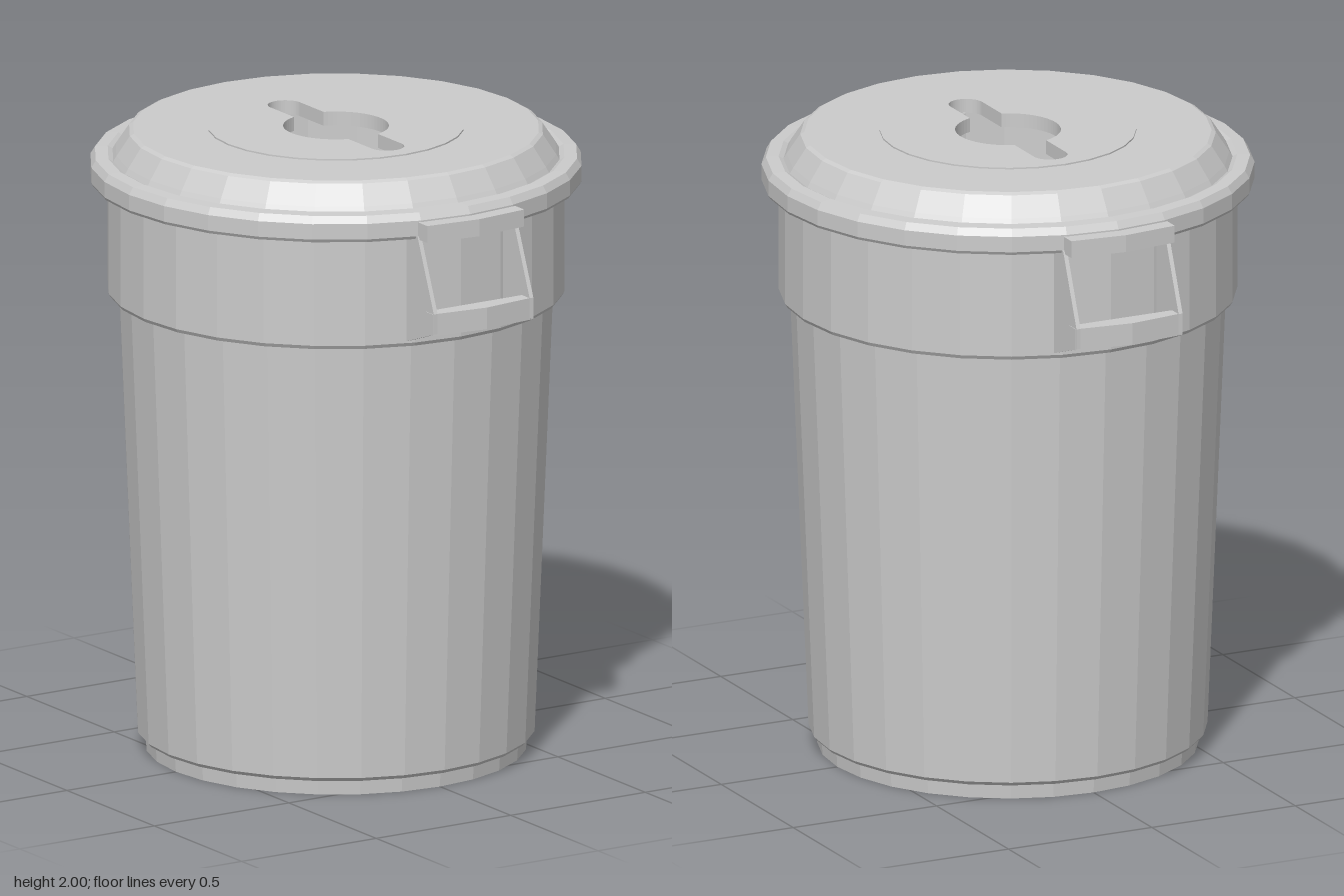
import * as THREE from 'three';

const SIDES = 28;
const material = new THREE.MeshStandardMaterial({ color: 0xcccccc, flatShading: true });

function add(parent, name, geometry) {
  const mesh = new THREE.Mesh(geometry, material);
  mesh.name = name;
  parent.add(mesh);
  return mesh;
}

// Closed [radius, y] profile, listed outside upwards then inside downwards
function ring(profile) {
  const points = [...profile, profile[0]].map(([r, y]) => new THREE.Vector2(r, y));
  return new THREE.LatheGeometry(points, SIDES);
}

// Plan outline of [x, z] points, raised from y0 to y1
function slab(outline, y0, y1) {
  const shape = new THREE.Shape(outline.map(([x, z]) => new THREE.Vector2(x, -z)));
  const g = new THREE.ExtrudeGeometry(shape, { depth: y1 - y0, bevelEnabled: false });
  return g.rotateX(-Math.PI / 2).translate(0, y0, 0);
}

// Side outline of [z, y] points, with its thickness centred on x
function sidePlate(outline, x, thickness) {
  const shape = new THREE.Shape(outline.map(([z, y]) => new THREE.Vector2(-z, y)));
  const g = new THREE.ExtrudeGeometry(shape, { depth: thickness, bevelEnabled: false });
  return g.translate(0, 0, -thickness / 2).rotateY(Math.PI / 2).translate(x, 0, 0);
}

// Bowed bar across the handle: outer edge peaks at the middle
function bowed(half, inner, end, middle) {
  return [[-half, inner], [half, inner], [half, end], [0, middle], [-half, end]];
}

function createHandle(name) {
  const handle = new THREE.Group();
  handle.name = name;
  const cheek = [[0.66, 1.478], [0.845, 1.545], [0.845, 1.61], [0.752, 1.84], [0.66, 1.84]];
  for (const side of [-1, 1]) {
    add(handle, 'handleCheek', sidePlate(cheek, side * 0.178, 0.014));
  }
  add(handle, 'handleGrip', slab(bowed(0.187, 0.8, 0.842, 0.865), 1.54, 1.61));
  add(handle, 'handleTopTab', slab(bowed(0.18, 0.68, 0.8, 0.82), 1.83, 1.885));
  return handle;
}

// Disc with a round opening crossed by a narrow slot
function slottedDisc() {
  const R = 0.165, w = 0.055, slotEnd = 0.29;
  const a = Math.asin(w / R);
  const shape = new THREE.Shape();
  shape.absarc(0, 0, 0.4, 0, Math.PI * 2, false);
  const hole = new THREE.Path();
  hole.absarc(0, 0, R, -Math.PI / 2 + a, Math.PI / 2 - a, false);
  hole.absarc(0, slotEnd, w, 0, Math.PI, false);
  hole.absarc(0, 0, R, Math.PI / 2 + a, Math.PI * 1.5 - a, false);
  hole.absarc(0, -slotEnd, w, Math.PI, Math.PI * 2, false);
  hole.closePath();
  shape.holes.push(hole);
  const g = new THREE.ExtrudeGeometry(shape, { depth: 0.045, bevelEnabled: false, curveSegments: 14 });
  return g.rotateX(-Math.PI / 2).translate(0, 1.955, 0);
}

export function createModel() {
  const model = new THREE.Group();
  model.name = 'lidded bin';

  // Tapered hollow body with a stepped foot
  add(model, 'body', ring([
    [0.57, 0], [0.595, 0], [0.598, 0.045], [0.612, 0.048], [0.622, 0.06],
    [0.68, 1.48], [0.66, 1.48], [0.6, 0.1], [0.57, 0.065],
  ]));

  // Wide collar around the mouth
  add(model, 'collar', ring([
    [0.67, 1.468], [0.708, 1.47], [0.715, 1.482], [0.715, 1.87], [0.695, 1.87],
    [0.69, 1.5], [0.66, 1.48],
  ]));

  // Underside: floor, inner ring and radial ribs
  const base = new THREE.Group();
  base.name = 'base';
  model.add(base);
  add(base, 'floor', new THREE.CylinderGeometry(0.6, 0.6, 0.02, SIDES)).position.y = 0.09;
  add(base, 'floorRing', ring([[0.365, 0.01], [0.385, 0.01], [0.385, 0.085], [0.365, 0.085]]));
  const ribs = 12;
  for (let i = 0; i < ribs; i++) {
    const pivot = new THREE.Group();
    pivot.name = 'ribPivot';
    pivot.rotation.y = ((i + 0.5) / ribs) * Math.PI * 2;
    add(pivot, 'rib', new THREE.BoxGeometry(0.2, 0.06, 0.015)).position.set(0.48, 0.052, 0);
    base.add(pivot);
  }

  // Lid: skirt, groove, sloped shoulder and flat top
  const lid = new THREE.Group();
  lid.name = 'lid';
  model.add(lid);
  add(lid, 'lidShell', ring([
    [0.74, 1.83], [0.763, 1.83], [0.769, 1.84], [0.769, 1.89], [0.755, 1.913],
    [0.715, 1.916], [0.7, 1.908], [0.69, 1.925], [0.648, 1.988], [0.635, 1.995],
    [0.4, 1.995], [0.4, 1.955], [0.62, 1.955], [0.68, 1.88], [0.74, 1.88],
  ]));
  add(lid, 'slottedDisc', slottedDisc());

  // Front and back handles
  model.add(createHandle('frontHandle'));
  const back = createHandle('backHandle');
  back.rotation.y = Math.PI;
  model.add(back);

  return model;
}
